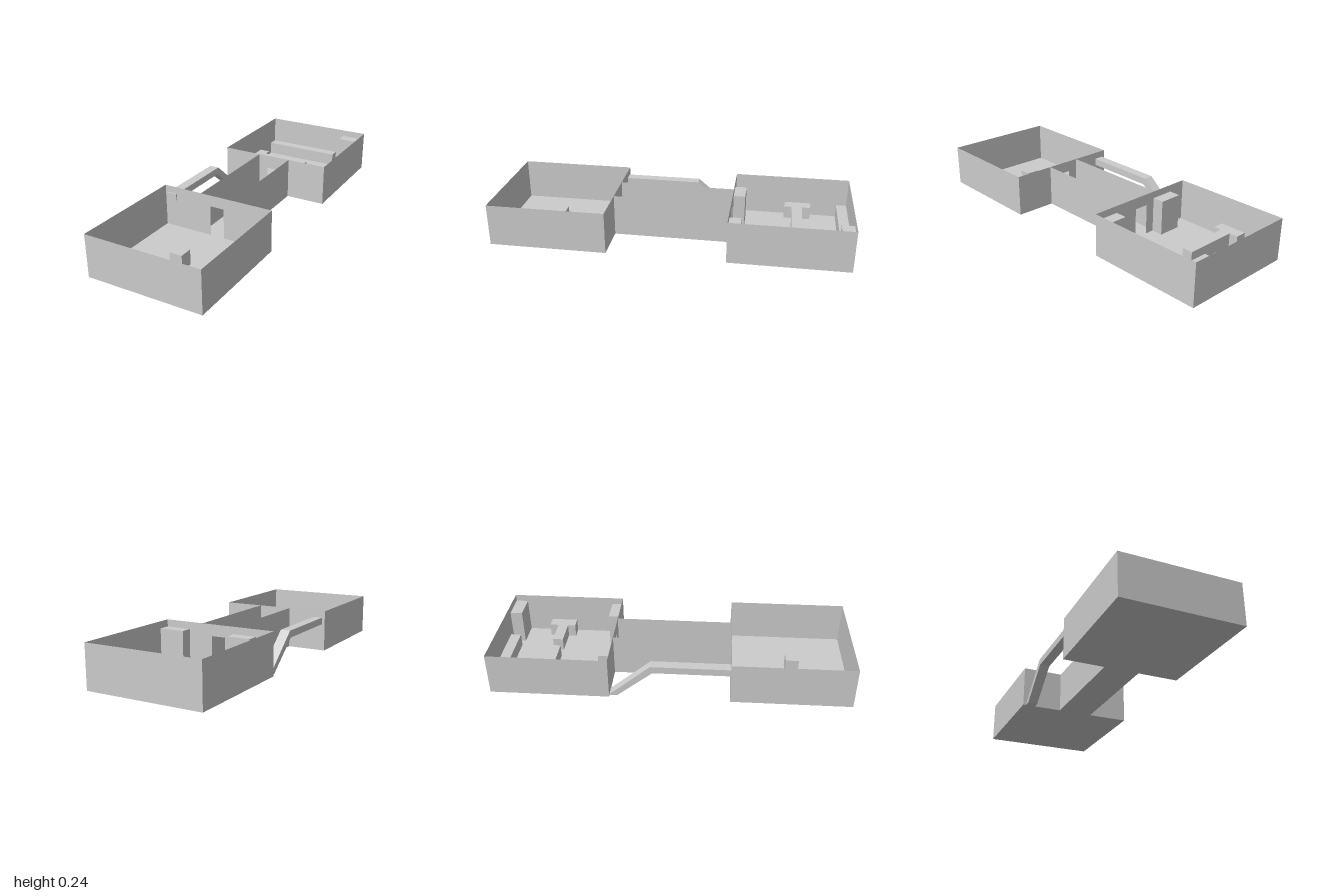
import * as THREE from 'three';

const H = 0.24;    // wall height
const R = 0.333;   // half width of a room, and where each room begins in z
const C = 0.1;     // half width of the corridor

const solidMat = new THREE.MeshStandardMaterial({ color: 0xcccccc, flatShading: true });
const sheetMat = new THREE.MeshStandardMaterial({ color: 0xcccccc, flatShading: true, side: THREE.DoubleSide });

function add(parent, name, geometry, material) {
  const mesh = new THREE.Mesh(geometry, material);
  mesh.name = name;
  parent.add(mesh);
  return mesh;
}

// Block standing on the floor, given by its plan extents and height
function block(parent, name, x0, x1, z0, z1, h) {
  const mesh = add(parent, name, new THREE.BoxGeometry(x1 - x0, h, z1 - z0), solidMat);
  mesh.position.set((x0 + x1) / 2, h / 2, (z0 + z1) / 2);
}

function floor(parent, name, x0, x1, z0, z1) {
  const geometry = new THREE.PlaneGeometry(x1 - x0, z1 - z0).rotateX(-Math.PI / 2);
  add(parent, name, geometry, sheetMat).position.set((x0 + x1) / 2, 0, (z0 + z1) / 2);
}

// Thin wall along z
function sideWall(parent, name, x, z0, z1) {
  const geometry = new THREE.PlaneGeometry(z1 - z0, H).rotateY(Math.PI / 2);
  add(parent, name, geometry, sheetMat).position.set(x, H / 2, (z0 + z1) / 2);
}

// Thin wall across x, with a doorway down to the floor
function doorWall(parent, z) {
  const d = 0.042, top = 0.175;
  const shape = new THREE.Shape([
    [-R, 0], [-d, 0], [-d, top], [d, top], [d, 0], [R, 0], [R, H], [-R, H],
  ].map(([x, y]) => new THREE.Vector2(x, y)));
  add(parent, 'doorWall', new THREE.ShapeGeometry(shape), sheetMat).position.z = z;
}

// Open-topped room on the side of z given by the sign
function room(parent, name, sign) {
  const group = new THREE.Group();
  group.name = name;
  parent.add(group);
  const z0 = Math.min(sign, sign * R), z1 = Math.max(sign, sign * R);
  floor(group, 'roomFloor', -R, R, z0, z1);
  for (const side of [-1, 1]) sideWall(group, 'sideWall', side * R, z0, z1);
  add(group, 'endWall', new THREE.PlaneGeometry(2 * R, H), sheetMat).position.set(0, H / 2, sign);
  doorWall(group, sign * R);
  return group;
}

export function createModel() {
  const model = new THREE.Group();
  model.name = 'twoRoomLayout';

  // Front room with a small block in the middle
  const front = room(model, 'frontRoom', 1);
  block(front, 'smallBlock', -0.04, 0.035, 0.65, 0.725, 0.085);

  // Back room with low barriers and tall cover blocks
  const back = room(model, 'backRoom', -1);
  block(back, 'backLedge', -R, 0.14, -1, -0.94, 0.075);
  block(back, 'cornerBlock', 0.185, R, -1, -0.93, 0.2);
  block(back, 'rightDoorBlock', -0.23, -0.095, -0.4, -R, 0.2);
  block(back, 'leftDoorBlock', 0.185, R, -0.4, -R, 0.2);
  for (const [x0, x1, x2] of [[-R, -0.267, 0.04], [R, 0.265, 0.105]]) {
    block(back, 'barrierEnd', Math.min(x0, x1), Math.max(x0, x1), -0.785, -0.63, 0.075);
    block(back, 'barrierBar', Math.min(x1, x2), Math.max(x1, x2), -0.735, -0.675, 0.075);
  }

  // Corridor between the rooms
  const corridor = new THREE.Group();
  corridor.name = 'corridor';
  model.add(corridor);
  floor(corridor, 'corridorFloor', -C, C, -R, R);
  for (const side of [-1, 1]) sideWall(corridor, 'corridorWall', side * C, -R, R);

  // Side walkway: level near the front room, ramping down to the back room
  const profile = new THREE.Shape([
    [0.34, 0.2], [-0.105, 0.2], [-0.34, 0], [-0.29, 0], [-0.093, 0.16], [0.34, 0.16],
  ].map(([z, y]) => new THREE.Vector2(-z, y)));
  const ramp = new THREE.ExtrudeGeometry(profile, { depth: 0.056, bevelEnabled: false });
  ramp.rotateY(Math.PI / 2);
  add(model, 'rampWalkway', ramp, solidMat).position.x = -0.316;

  return model;
}
